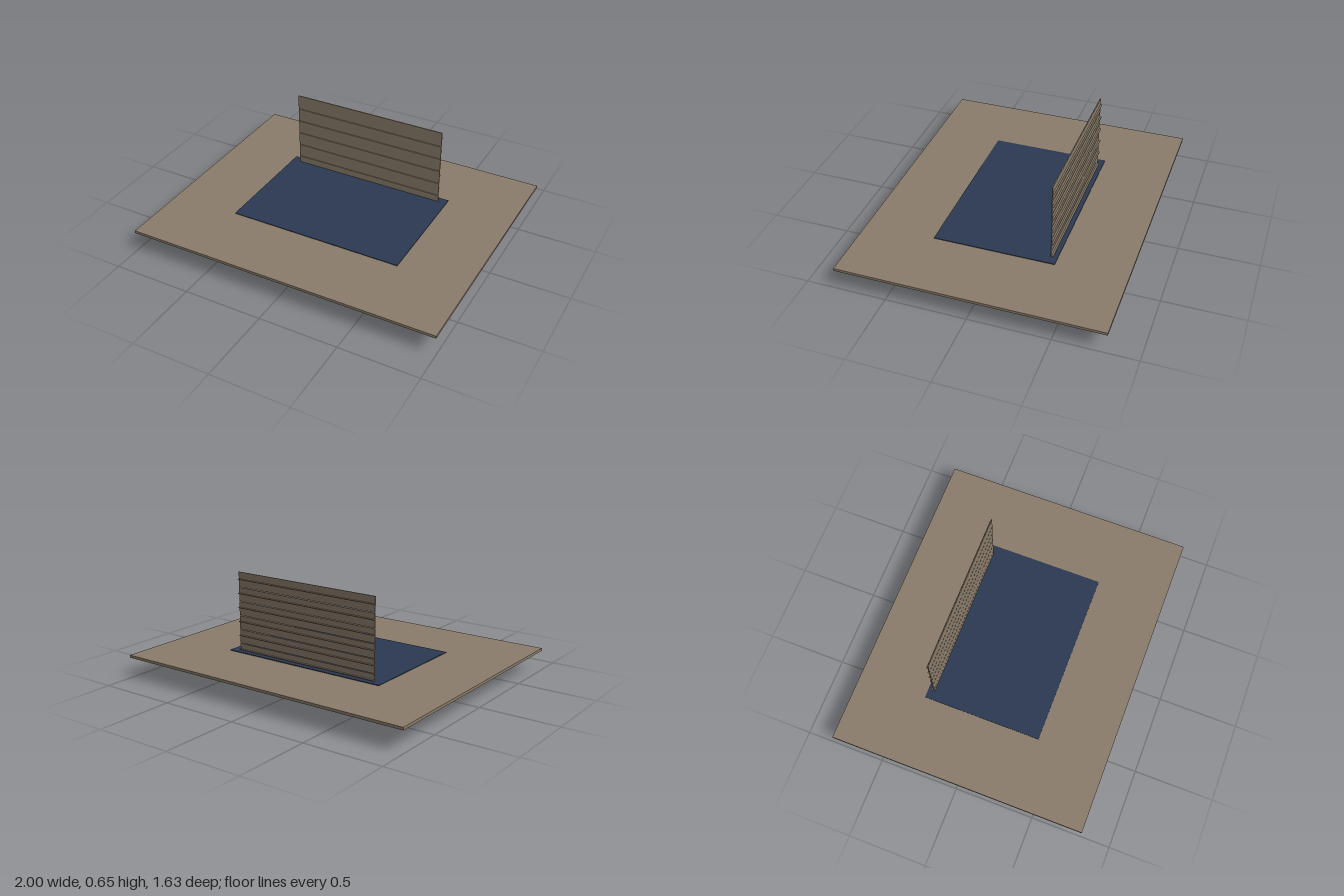
import * as THREE from 'three';

const paint = (color) => new THREE.MeshStandardMaterial({ color, flatShading: true });
const tan = paint(0x8b7d6b), navy = paint(0x2c3a52), amber = paint(0x9a7420);
const green = paint(0x2e7d3a), grey = paint(0x8f9096), darkGrey = paint(0x73767e);

// Box given by its min and max corners
function box(parent, name, mat, [x0, y0, z0], [x1, y1, z1]) {
  const mesh = new THREE.Mesh(new THREE.BoxGeometry(x1 - x0, y1 - y0, z1 - z0), mat);
  mesh.position.set((x0 + x1) / 2, (y0 + y1) / 2, (z0 + z1) / 2);
  mesh.name = name;
  parent.add(mesh);
  return mesh;
}

// Upright prism over an outline in x and z
function prism(name, mat, points, y0, y1) {
  const shape = new THREE.Shape(points.map(([x, z]) => new THREE.Vector2(x, -z)));
  const geo = new THREE.ExtrudeGeometry(shape, { depth: y1 - y0, bevelEnabled: false });
  geo.rotateX(-Math.PI / 2);
  const mesh = new THREE.Mesh(geo, mat);
  mesh.position.y = y0;
  mesh.name = name;
  return mesh;
}

// Rectangle with cut corners
const cutRect = (x, z, c) => [
  [x - c, z], [x, z - c], [x, c - z], [x - c, -z],
  [c - x, -z], [-x, c - z], [-x, z - c], [c - x, z],
];

export function createModel() {
  const model = new THREE.Group();

  // Table board and the thin mat on it
  box(model, 'board', tan, [-1, 0.13, -0.815], [1, 0.147, 0.815]);
  box(model, 'matBacking', amber, [-0.557, 0.147, -0.377], [0.557, 0.149, 0.372]);
  box(model, 'mat', navy, [-0.56, 0.149, -0.38], [0.56, 0.153, 0.375]);

  // Slatted upright panel with a small ledge behind each slat
  const panel = new THREE.Group();
  panel.name = 'slattedPanel';
  const seams = [0.152, 0.2, 0.29, 0.38, 0.47, 0.56, 0.655];
  for (let i = 0; i < 6; i++) {
    const gap = i < 5 ? 0.004 : 0;
    box(panel, 'slat', tan, [-0.505, seams[i], -0.344], [0.505, seams[i + 1] - gap, -0.338]);
    const y = 0.157 + i * 0.09;
    box(panel, 'ledge', tan, [-0.505, y, -0.354], [0.505, y + 0.005, -0.344]);
  }
  model.add(panel);

  // Shallow tray under the board with an inset upper wall
  const tray = new THREE.Group();
  tray.name = 'tray';
  tray.add(prism('trayBase', grey, cutRect(0.588, 0.404, 0.035), 0, 0.063));
  tray.add(prism('trayUpper', darkGrey, cutRect(0.57, 0.385, 0.035), 0.063, 0.11));
  tray.add(prism('mountingPlate', amber, cutRect(0.598, 0.413, 0.018), 0.11, 0.13));
  model.add(tray);

  // Four corner brackets: a plate on each face, open at the corner below
  for (const sx of [-1, 1]) {
    for (const sz of [-1, 1]) {
      const bracket = new THREE.Group();
      bracket.name = 'cornerBracket';
      const part = (x0, x1, y0, y1, z0, z1) => box(bracket, 'bracketPlate', amber,
        [Math.min(sx * x0, sx * x1), y0, Math.min(sz * z0, sz * z1)],
        [Math.max(sx * x0, sx * x1), y1, Math.max(sz * z0, sz * z1)]);
      part(0.455, 0.56, 0, 0.13, 0.37, 0.415);
      part(0.555, 0.6, 0, 0.13, 0.28, 0.38);
      part(0.54, 0.575, 0.063, 0.13, 0.36, 0.395);
      model.add(bracket);
    }
    // Support rod running front to back
    const rod = new THREE.Mesh(new THREE.CylinderGeometry(0.014, 0.014, 1.2, 16), green);
    rod.rotation.x = Math.PI / 2;
    rod.position.set(sx * 0.513, 0.125, 0);
    rod.name = 'supportRod';
    model.add(rod);
  }
  return model;
}
